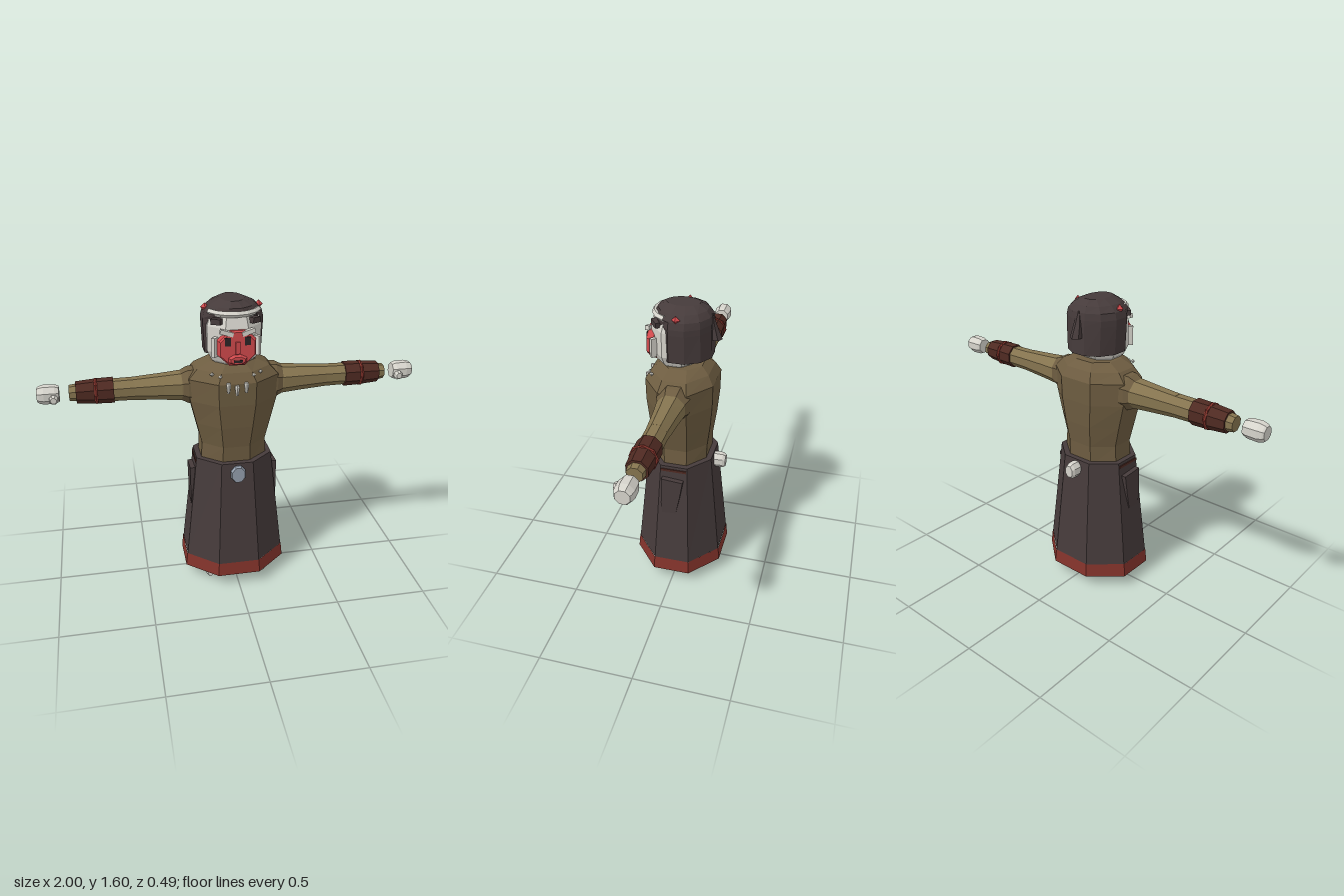
import * as THREE from 'three';

const mat = (name, color, side = THREE.FrontSide) =>
  Object.assign(new THREE.MeshStandardMaterial({ color, flatShading: true, side }), { name });

// Faceted solid along y from rings [y, halfX, halfZ, centreZ, frontLimitZ]; half sizes are to the flats
function loft(rings, n = 8, caps = true) {
  const pos = [];
  const k = 1 / Math.cos(Math.PI / n);
  const pts = rings.map(([y, rx, rz, cz = 0, front = 9]) =>
    Array.from({ length: n }, (_, j) => {
      const a = ((j + 0.5) / n) * Math.PI * 2;
      return [rx * k * Math.cos(a), y, Math.min(front, cz + rz * k * Math.sin(a))];
    }));
  const tri = (...p) => p.forEach((v) => pos.push(...v));
  for (let i = 0; i < rings.length - 1; i++) {
    for (let j = 0; j < n; j++) {
      const a = pts[i][j], b = pts[i][(j + 1) % n], c = pts[i + 1][j], d = pts[i + 1][(j + 1) % n];
      tri(a, c, b);
      tri(b, c, d);
    }
  }
  if (caps) {
    const lo = pts[0], hi = pts[pts.length - 1];
    for (let j = 1; j < n - 1; j++) {
      tri(lo[0], lo[j], lo[j + 1]);
      tri(hi[0], hi[j + 1], hi[j]);
    }
  }
  const g = new THREE.BufferGeometry();
  g.setAttribute('position', new THREE.Float32BufferAttribute(pos, 3));
  g.computeVertexNormals();
  return g;
}

export function createModel() {
  const model = new THREE.Group();
  model.name = 'robedFigure';
  const robe = mat('robe olive', 0x6e5d41);
  const sleeve = mat('sleeve olive', 0x85744f);
  const skirtMat = mat('skirt charcoal', 0x463b3b);
  const red = mat('hem red', 0x84332b, THREE.DoubleSide);
  const leather = mat('cuff leather', 0x4f2a22);
  const faceRed = mat('face red', 0xd0494c);
  const fur = mat('pale fur', 0xd6d4cc);
  const metal = mat('steel', 0x949eac);
  const dark = mat('dark detail', 0x2a2526);

  const add = (name, geometry, material, x = 0, y = 0, z = 0, rx = 0, ry = 0, rz = 0) => {
    const m = new THREE.Mesh(geometry, material);
    m.name = name;
    m.position.set(x, y, z);
    m.rotation.set(rx, ry, rz);
    model.add(m);
    return m;
  };
  const box = (w, h, d) => new THREE.BoxGeometry(w, h, d);
  const alongZ = (rings, n) => loft(rings, n).rotateX(Math.PI / 2);

  // Robe: hem, skirt and torso
  add('hem', loft([[0.07, 0.282, 0.243], [0.147, 0.274, 0.236]], 8, false), red);
  add('skirt', loft([[0.145, 0.272, 0.234], [0.745, 0.205, 0.175]]), skirtMat);
  add('torso', loft([
    [0.72, 0.178, 0.145], [0.83, 0.172, 0.149], [0.95, 0.2, 0.165], [1.08, 0.23, 0.176],
    [1.2, 0.235, 0.178], [1.25, 0.19, 0.15], [1.285, 0.12, 0.11],
  ]), robe);
  add('beltBuckle', alongZ([[0.18, 0.034, 0.042], [0.195, 0.04, 0.048], [0.212, 0.034, 0.042]]), metal, 0, 0.692, 0);
  add('tail', alongZ([[-0.24, 0.024, 0.032], [-0.225, 0.032, 0.042], [-0.19, 0.034, 0.043], [-0.16, 0.028, 0.036]]),
    fur, 0, 0.695, 0);

  // Necklace teeth and beads
  for (const [x, y] of [[-0.048, 1.185], [-0.004, 1.17], [0.044, 1.183]])
    add('necklaceTooth', loft([[-0.03, 0.006, 0.005], [0.015, 0.012, 0.01], [0.025, 0.008, 0.007]], 6), fur, x, y, 0.181);
  for (const s of [-1, 1])
    for (const [x, y, z] of [[0.085, 1.235, 0.155], [0.125, 1.245, 0.135]])
      add('necklaceBead', new THREE.OctahedronGeometry(0.012), fur, s * x, y, z);

  for (const s of [-1, 1]) {
    // Arm pieces run outwards along x
    const armPart = (name, rings, material, n) =>
      add(name, loft(rings, n).rotateZ(-s * Math.PI / 2), material, 0, 1.143, -0.005);
    armPart('shoulder', [[0.16, 0.095, 0.09], [0.235, 0.09, 0.083], [0.28, 0.068, 0.065]], robe);
    armPart('upperSleeve', [[0.22, 0.07, 0.07], [0.27, 0.073, 0.072], [0.36, 0.066, 0.062], [0.51, 0.056, 0.052]], sleeve);
    armPart('lowerSleeve', [[0.5, 0.056, 0.052], [0.63, 0.054, 0.052], [0.8, 0.042, 0.043], [0.84, 0.037, 0.038]], sleeve);
    armPart('cuff', [[0.615, 0.062, 0.06], [0.7, 0.06, 0.058], [0.805, 0.052, 0.052]], leather);
    add('cuffRing', new THREE.TorusGeometry(0.063, 0.009, 6, 8), red, s * 0.705, 1.143, -0.005, 0, Math.PI / 2, 0);
    armPart('hand', [[0.89, 0.038, 0.038], [0.91, 0.045, 0.044], [0.965, 0.047, 0.046], [0.99, 0.041, 0.04], [1, 0.034, 0.034]], fur);
    add('thumb', alongZ([[0.015, 0.022, 0.024], [0.048, 0.021, 0.023], [0.06, 0.014, 0.015]]), fur, s * 0.917, 1.13, 0);

    // Foot with toe, skirt flap and side sash
    add('foot', alongZ([[-0.035, 0.03, 0.027], [-0.015, 0.041, 0.037], [0.095, 0.041, 0.037], [0.118, 0.032, 0.029]]),
      fur, s * 0.15, 0.037, 0);
    add('toe', alongZ([[0.1, 0.02, 0.022], [0.145, 0.022, 0.024], [0.16, 0.014, 0.016]]), fur, s * 0.15, 0.032, 0);
    const flap = new THREE.Shape([[0.062, 0.68], [-0.056, 0.67], [-0.038, 0.56], [-0.018, 0.46], [0.058, 0.455], [0.066, 0.52]]
      .map(([z, y]) => new THREE.Vector2(-z, y)));
    add('skirtFlap', new THREE.ExtrudeGeometry(flap, { depth: 0.03, bevelEnabled: false }).rotateY(Math.PI / 2),
      skirtMat, s > 0 ? 0.21 : -0.24, 0, 0);
    add('sideSash', box(0.012, 0.014, 0.14), leather, s * 0.206, 0.722, 0.002);
  }

  // Head and hood
  add('head', loft([
    [1.265, 0.075, 0.065, 0.03], [1.3, 0.115, 0.105, 0.025], [1.35, 0.138, 0.125, 0.025],
    [1.48, 0.138, 0.125, 0.025], [1.55, 0.115, 0.11, 0.02],
  ]), fur);
  add('hood', loft([
    [1.33, 0.146, 0.155, 0, 0.072], [1.48, 0.154, 0.153, 0, 0.072], [1.51, 0.154, 0.152, 0, 0.085],
    [1.545, 0.145, 0.147, 0, 0.135], [1.575, 0.115, 0.125], [1.6, 0.06, 0.085],
  ], 12), skirtMat);
  add('hoodPoint', loft([[-0.06, 0.028, 0.03, -0.01], [0.01, 0.02, 0.016, 0.002], [0.07, 0.004, 0.004, 0.01]], 6),
    skirtMat, 0, 1.48, -0.155);
  add('browBand', new THREE.TorusGeometry(0.136, 0.016, 5, 6, Math.PI * 0.72)
    .rotateZ(Math.PI * 0.14).rotateX(Math.PI / 2), fur, 0, 1.55, 0.005);
  for (const s of [-1, 1]) {
    add('hoodFringe', box(0.055, 0.028, 0.03), skirtMat, s * 0.095, 1.512, 0.115, 0, s * 0.7, s * -0.1);
    add('hoodGem', new THREE.OctahedronGeometry(0.022), faceRed, s * 0.138, 1.557, 0.003);
  }

  // Face mask, eyes, brows and muzzle
  add('face', alongZ([[0.13, 0.098, 0.092], [0.16, 0.094, 0.09], [0.17, 0.086, 0.083]]), faceRed, 0, 1.385, 0);
  add('muzzle', alongZ([[0.16, 0.05, 0.028], [0.178, 0.045, 0.024], [0.186, 0.036, 0.018]]), faceRed, 0, 1.328, 0);
  add('mouth', box(0.045, 0.013, 0.008), dark, 0, 1.324, 0.184);
  add('nose', box(0.024, 0.06, 0.014), faceRed, 0, 1.39, 0.173);
  for (const s of [-1, 1]) {
    add('eye', box(0.03, 0.042, 0.009), dark, s * 0.05, 1.423, 0.17);
    add('brow', box(0.068, 0.022, 0.022), fur, s * 0.055, 1.467, 0.164, 0, 0, s * 0.3);
    add('cheekFur', box(0.02, 0.1, 0.03), fur, s * 0.108, 1.385, 0.128, 0, s * 0.8, 0);
  }
  return model;
}
